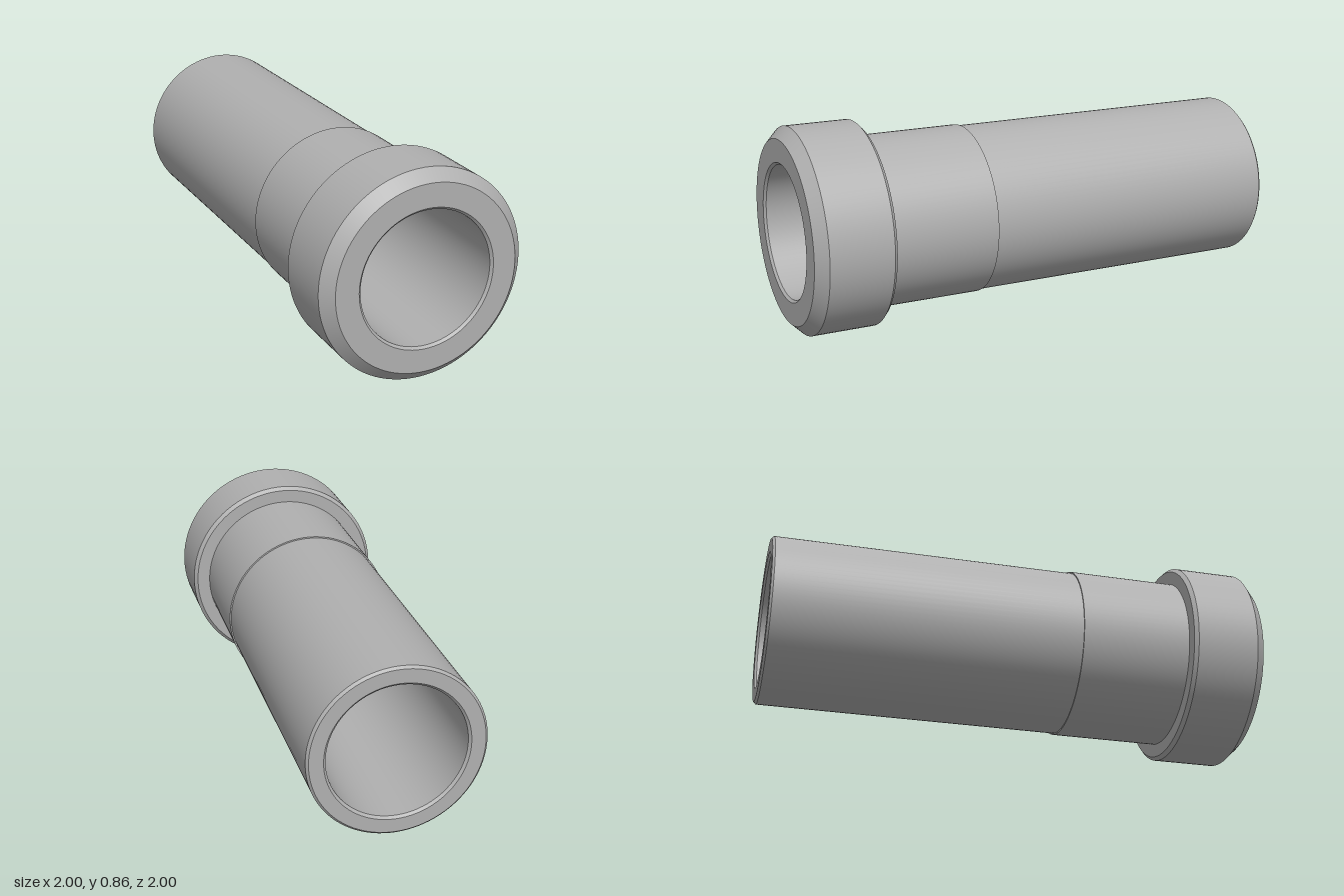
import * as THREE from 'three';
import { mergeGeometries } from 'three/addons/utils/BufferGeometryUtils.js';

// Each profile point is [radius, distance along the axis].
// Every segment is turned separately so that edges stay crisp.
function turned(profile) {
  const bands = [];
  for (let i = 0; i < profile.length - 1; i++) {
    const pair = [profile[i], profile[i + 1]].map(([r, s]) => new THREE.Vector2(r, s));
    bands.push(new THREE.LatheGeometry(pair, 96));
  }
  return mergeGeometries(bands);
}

export function createModel() {
  const grey = new THREE.MeshStandardMaterial({ color: 0xb0b0b0 });
  grey.name = 'plain grey';

  const rBore = 0.278, rBoreLip = 0.288, rPipe = 0.355, rSleeve = 0.361, rCollar = 0.432;
  const back = -1.069, sleeveStart = 0.233, collarStart = 0.7, front = 1.029;

  const parts = {
    // Long pipe with a small chamfer at its rear end
    pipe: [[rBoreLip, back], [rPipe - 0.01, back], [rPipe, back + 0.01], [rPipe, sleeveStart]],
    // Slightly wider sleeve behind the collar
    sleeve: [[rPipe, sleeveStart], [rSleeve, sleeveStart], [rSleeve, collarStart]],
    // Collar with a small rear chamfer and a large front chamfer
    collar: [
      [rSleeve, collarStart], [rCollar - 0.015, collarStart], [rCollar, collarStart + 0.015],
      [rCollar, front - 0.047], [rCollar - 0.047, front], [rBoreLip, front],
    ],
    // Through bore, chamfered at both mouths
    bore: [[rBoreLip, front], [rBore, front - 0.01], [rBore, back + 0.01], [rBoreLip, back]],
  };

  const fitting = new THREE.Group();
  fitting.name = 'pipeFitting';
  for (const [name, profile] of Object.entries(parts)) {
    const mesh = new THREE.Mesh(turned(profile), grey);
    mesh.name = name;
    fitting.add(mesh);
  }

  // Lay the axis flat, pointing diagonally to the front left
  fitting.rotation.set(Math.PI / 2, Math.PI / 4, 0, 'YXZ');
  fitting.position.y = rCollar;

  const model = new THREE.Group();
  model.name = 'model';
  model.add(fitting);
  return model;
}
